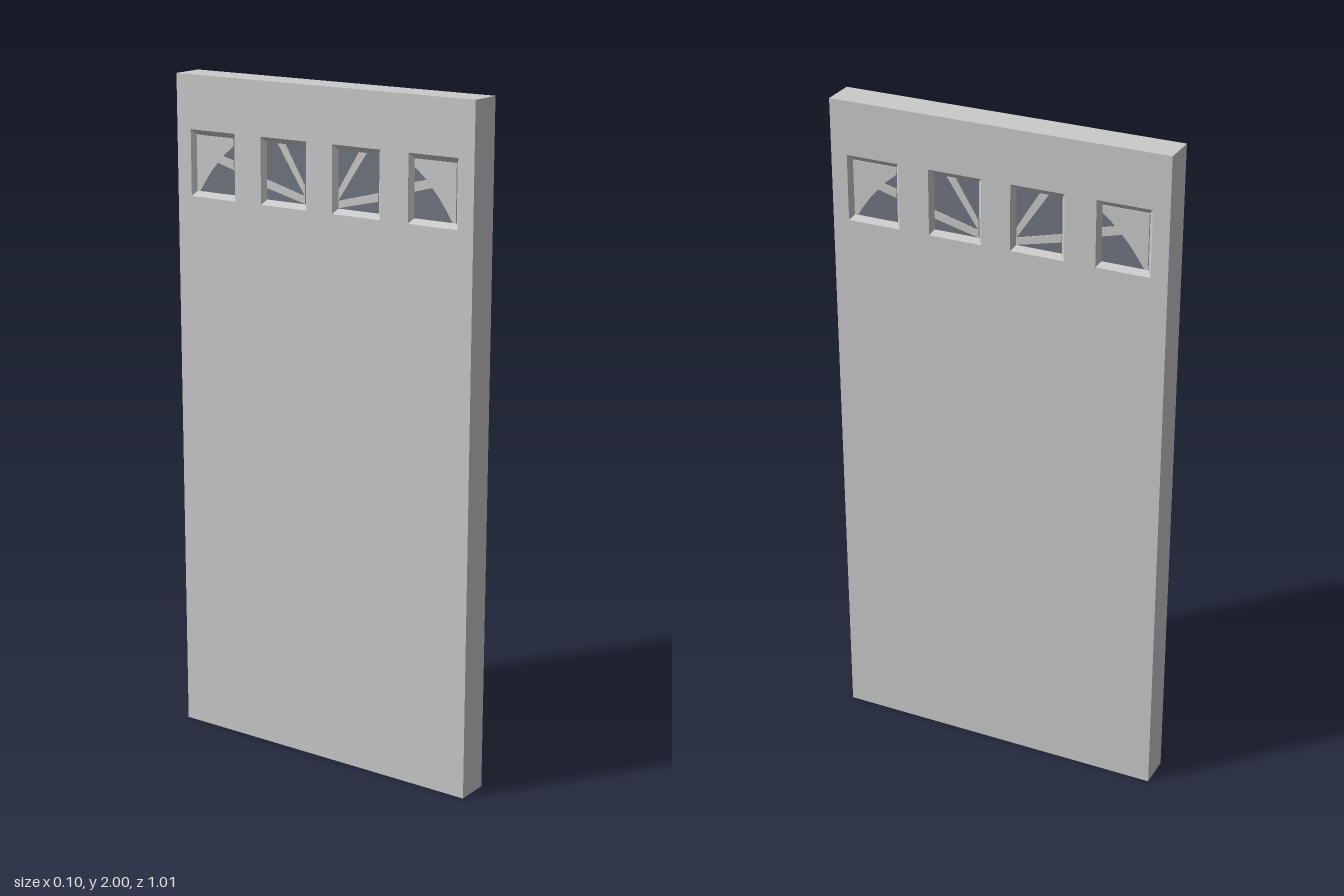
import * as THREE from 'three';

const HEIGHT = 2, WIDTH = 1.01, THICK = 0.1;
const WIN_Y = 1.745, HALF_W = 0.08, HALF_H = 0.097, INSET = 0.85, RECESS = 0.014;
const WIN_X = [0.376, 0.124];

// Sunburst pieces seen in the outer and the inner window (distance from centre line, height)
const outerPieces = [
  [[0.443, 1.826], [0.309, 1.826], [0.309, 1.804], [0.348, 1.772], [0.39, 1.725], [0.417, 1.688], [0.433, 1.663], [0.443, 1.663]],
  [[0.369, 1.752], [0.348, 1.772], [0.309, 1.762], [0.309, 1.736]],
];
const innerPieces = [
  [[0.191, 1.72], [0.057, 1.685], [0.057, 1.664], [0.191, 1.696]],
  [[0.152, 1.826], [0.125, 1.826], [0.057, 1.715], [0.057, 1.685]],
];

function rectangle(PathType, cx, cy, hw, hh) {
  return new PathType([[-1, -1], [1, -1], [1, 1], [-1, 1]].map(([x, y]) => new THREE.Vector2(cx + x * hw, cy + y * hh)));
}

export function createModel() {
  const model = new THREE.Group();
  model.name = 'door';
  const paint = new THREE.MeshStandardMaterial({ color: 0xcbcbcb });
  paint.name = 'lightGreyPaint';
  const glass = new THREE.MeshStandardMaterial({ color: 0x717680 });
  glass.name = 'blueGreyGlass';

  const add = (parent, name, geometry, material, x = 0, y = 0, z = 0) => {
    const mesh = new THREE.Mesh(geometry, material);
    mesh.name = name;
    mesh.position.set(x, y, z);
    parent.add(mesh);
  };

  // Slab with four window openings
  const centres = WIN_X.flatMap((x) => [x, -x]);
  const outline = rectangle(THREE.Shape, 0, HEIGHT / 2, WIDTH / 2, HEIGHT / 2);
  outline.holes = centres.map((x) => rectangle(THREE.Path, x, WIN_Y, HALF_W, HALF_H));
  const slab = new THREE.ExtrudeGeometry(outline, { depth: THICK, bevelEnabled: false });
  add(model, 'slab', slab, paint, 0, 0, -THICK / 2);

  // Sloped reveal around each pane, facing inwards
  let reveal = new THREE.CylinderGeometry(Math.SQRT2, Math.SQRT2 * INSET, RECESS, 4, 1, true, Math.PI / 4);
  reveal.rotateX(Math.PI / 2);
  reveal.scale(-HALF_W, HALF_H, 1);
  reveal = reveal.toNonIndexed();
  // Mirrored corners turn the faces towards the opening
  reveal.computeVertexNormals();

  // Panes fill the openings between both recesses
  const pane = new THREE.BoxGeometry(HALF_W * 2, HALF_H * 2, THICK - RECESS * 2);
  for (const x of centres) add(model, 'windowPane', pane, glass, x, WIN_Y, 0);

  // Reveals and sunburst plates on both faces
  for (const turn of [0, Math.PI]) {
    const face = new THREE.Group();
    face.name = turn ? 'leftFaceWindows' : 'rightFaceWindows';
    face.rotation.y = turn;
    for (const x of centres) add(face, 'windowReveal', reveal, paint, x, WIN_Y, THICK / 2 - RECESS / 2);
    for (const side of [1, -1]) {
      for (const points of [...outerPieces, ...innerPieces]) {
        const shape = new THREE.Shape(points.map(([x, y]) => new THREE.Vector2(side * x, y)));
        const plate = new THREE.ExtrudeGeometry(shape, { depth: 0.003, bevelEnabled: false });
        add(face, 'sunburstPlate', plate, paint, 0, 0, THICK / 2 - RECESS);
      }
    }
    model.add(face);
  }

  // Broad faces look along x
  model.rotation.y = Math.PI / 2;
  const root = new THREE.Group();
  root.name = 'doorModel';
  root.add(model);
  return root;
}
